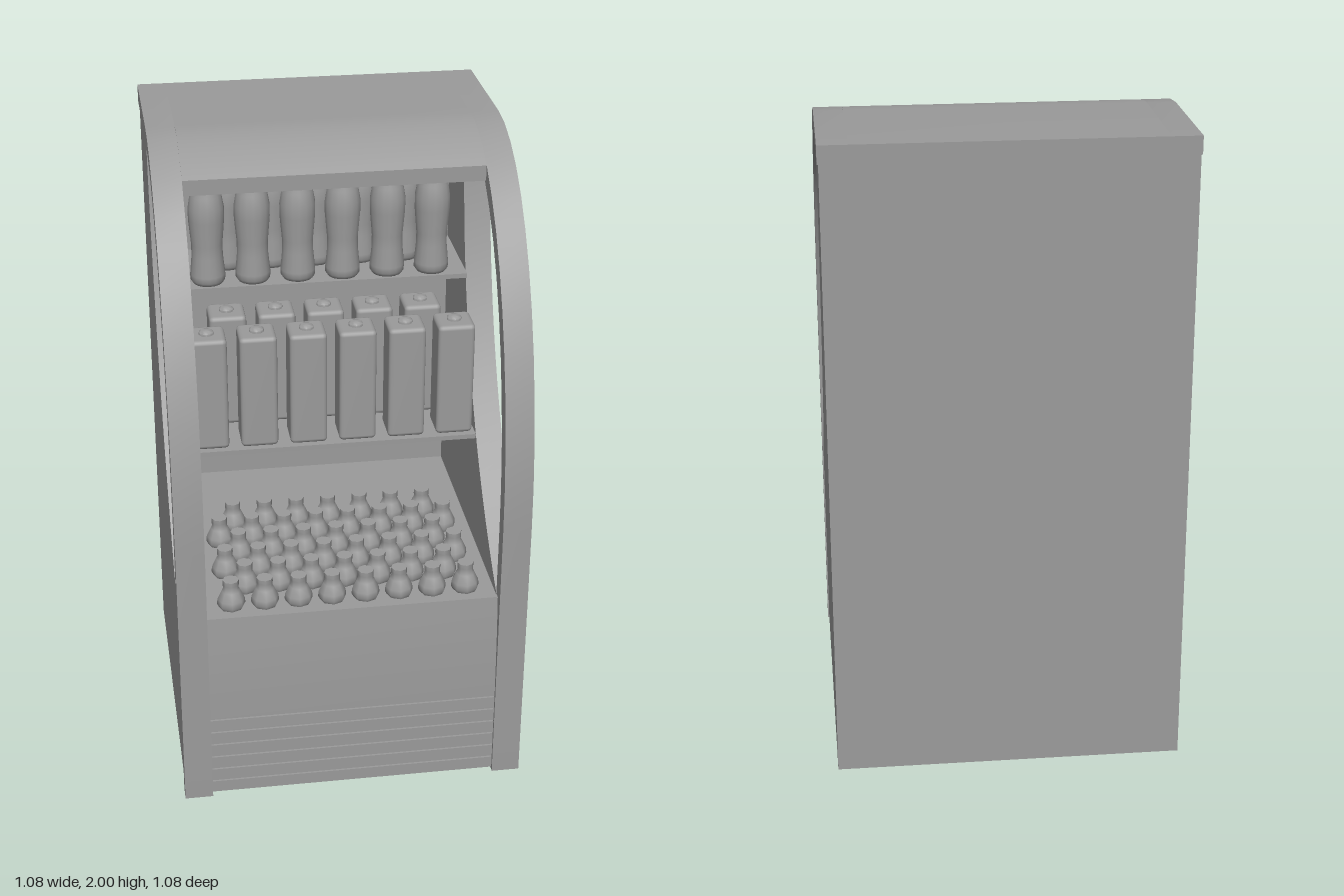
import * as THREE from 'three';
import { toCreasedNormals } from 'three/addons/utils/BufferGeometryUtils.js';
import { RoundedBoxGeometry } from 'three/addons/geometries/RoundedBoxGeometry.js';

const material = new THREE.MeshStandardMaterial({ color: 0x9b9b9b, side: THREE.DoubleSide });

function add(parent, name, geometry, x = 0, y = 0, z = 0) {
  const mesh = new THREE.Mesh(geometry, material);
  mesh.name = name;
  mesh.position.set(x, y, z);
  parent.add(mesh);
}

// Box given by its limits on each axis
function addBox(parent, name, x0, x1, y0, y1, z0, z1) {
  add(parent, name, new THREE.BoxGeometry(x1 - x0, y1 - y0, z1 - z0),
    (x0 + x1) / 2, (y0 + y1) / 2, (z0 + z1) / 2);
}

// Extrudes a (z, y) outline along x, from x0 to x1
function profile(points, x0, x1) {
  const shape = new THREE.Shape(points.map(([z, y]) => new THREE.Vector2(z, y)));
  const g = new THREE.ExtrudeGeometry(shape, { depth: x1 - x0, bevelEnabled: false });
  g.rotateY(-Math.PI / 2).translate(x1, 0, 0);
  return toCreasedNormals(g, 0.5);
}

// Points (z, y) on an ellipse around (cz, cy)
function arc(cz, cy, rz, ry, from, to, n) {
  return Array.from({ length: n + 1 }, (_, i) => {
    const t = from + (to - from) * i / n;
    return [cz + rz * Math.cos(t), cy + ry * Math.sin(t)];
  });
}

const canopy = (rz, ry, from, to, n = 12) => arc(-0.13, 0.9, rz, ry, from, to, n);

function lathe(points, sides) {
  const g = new THREE.LatheGeometry(points.map(([r, y]) => new THREE.Vector2(r, y)), sides);
  return toCreasedNormals(g, 1);
}

// Staggered rows: odd rows have one item less
function staggered(count, rows, spacing, z0, dz, place) {
  for (let r = 0; r < rows; r++) {
    const n = count - (r % 2);
    for (let i = 0; i < n; i++) place((i - (n - 1) / 2) * spacing, z0 - r * dz);
  }
}

function addGroup(parent, name, x = 0, y = 0, z = 0) {
  const group = new THREE.Group();
  group.name = name;
  group.position.set(x, y, z);
  parent.add(group);
  return group;
}

export function createModel() {
  const model = new THREE.Group();
  model.name = 'displayFridge';
  const half = Math.PI / 2;
  const inner = 0.452;

  // Arched side frames and the cut-out side panels
  const frame = [[0.54, 0], ...canopy(0.67, 1.1, 0, half), [-0.54, 2], [-0.54, 1.945],
    ...canopy(0.62, 1.045, half, 0), [0.49, 0]];
  const panel = [[-0.54, 0.01], [0.49, 0.01],
    ...arc(1.4, 2, -1.6, -1.642, 0.965, 0.03, 20), [-0.54, 1.951]];
  for (const [side, s] of [['left', 1], ['right', -1]]) {
    const span = outer => s > 0 ? [inner, outer] : [-outer, -inner];
    add(model, side + 'ArchFrame', profile(frame, ...span(0.54)));
    add(model, side + 'SidePanel', profile(panel, ...span(0.536)));
  }

  // Curved hood between the arches
  const hood = [...canopy(0.67, 1.1, Math.acos(0.252 / 0.67), half, 9), [-0.54, 2], [-0.54, 1.96],
    ...canopy(0.63, 1.06, half, Math.acos(0.252 / 0.63), 9)];
  add(model, 'hood', profile(hood, -inner, inner));

  // Cabinet body, back wall and shelves
  addBox(model, 'base', -inner, inner, 0.01, 0.645, -0.54, 0.49);
  addBox(model, 'backWall', -inner, inner, 0.645, 1.96, -0.54, -0.41);
  addBox(model, 'lowerShelf', -inner, inner, 1.0, 1.015, -0.41, 0.12);
  addBox(model, 'upperShelf', -inner, inner, 1.465, 1.48, -0.41, -0.09);

  // Front panel with grille grooves
  const front = [[0.49, 0.01], [0.53, 0.01]];
  for (let i = 0; i < 6; i++) {
    const y = 0.05 + i * 0.047;
    front.push([0.53, y], [0.515, y], [0.515, y + 0.005], [0.53, y + 0.005]);
  }
  front.push([0.527, 0.4], [0.521, 0.53], [0.51, 0.65], [0.49, 0.65]);
  add(model, 'frontPanel', profile(front, -inner, inner));

  // Small bottles on the deck
  const small = lathe([[0, 0], [0.038, 0], [0.044, 0.012], [0.042, 0.03], [0.029, 0.058],
    [0.024, 0.068], [0.025, 0.08], [0.025, 0.095], [0, 0.095]], 8);
  const smallBottles = addGroup(model, 'smallBottles');
  staggered(8, 6, 0.1045, 0.435, 0.094, (x, z) => add(smallBottles, 'smallBottle', small, x - 0.003, 0.645, z));

  // Cartons with a round cap on top
  const cartonBody = new RoundedBoxGeometry(0.117, 0.375, 0.117, 2, 0.014);
  const cartonCap = lathe([[0.023, 0], [0.023, 0.012], [0.015, 0.018], [0, 0.019]], 12);
  const cartons = addGroup(model, 'cartons');
  staggered(6, 2, 0.155, 0.048, 0.165, (x, z) => {
    const carton = addGroup(cartons, 'carton', x - 0.003, 1.015, z);
    add(carton, 'cartonBody', cartonBody, 0, 0.1875, 0);
    add(carton, 'cartonCap', cartonCap, 0, 0.37, 0);
  });

  // Tall waisted bottles on the upper shelf
  const tall = lathe([[0, 0], [0.047, 0], [0.055, 0.012], [0.055, 0.03], [0.049, 0.09],
    [0.049, 0.13], [0.056, 0.21], [0.056, 0.25], [0.049, 0.29], [0.036, 0.33],
    [0.034, 0.345], [0.037, 0.352], [0.037, 0.365], [0, 0.365]], 16);
  const tallBottles = addGroup(model, 'tallBottles');
  staggered(6, 2, 0.142, -0.147, 0.12, (x, z) => add(tallBottles, 'tallBottle', tall, x - 0.01, 1.48, z));

  return model;
}
